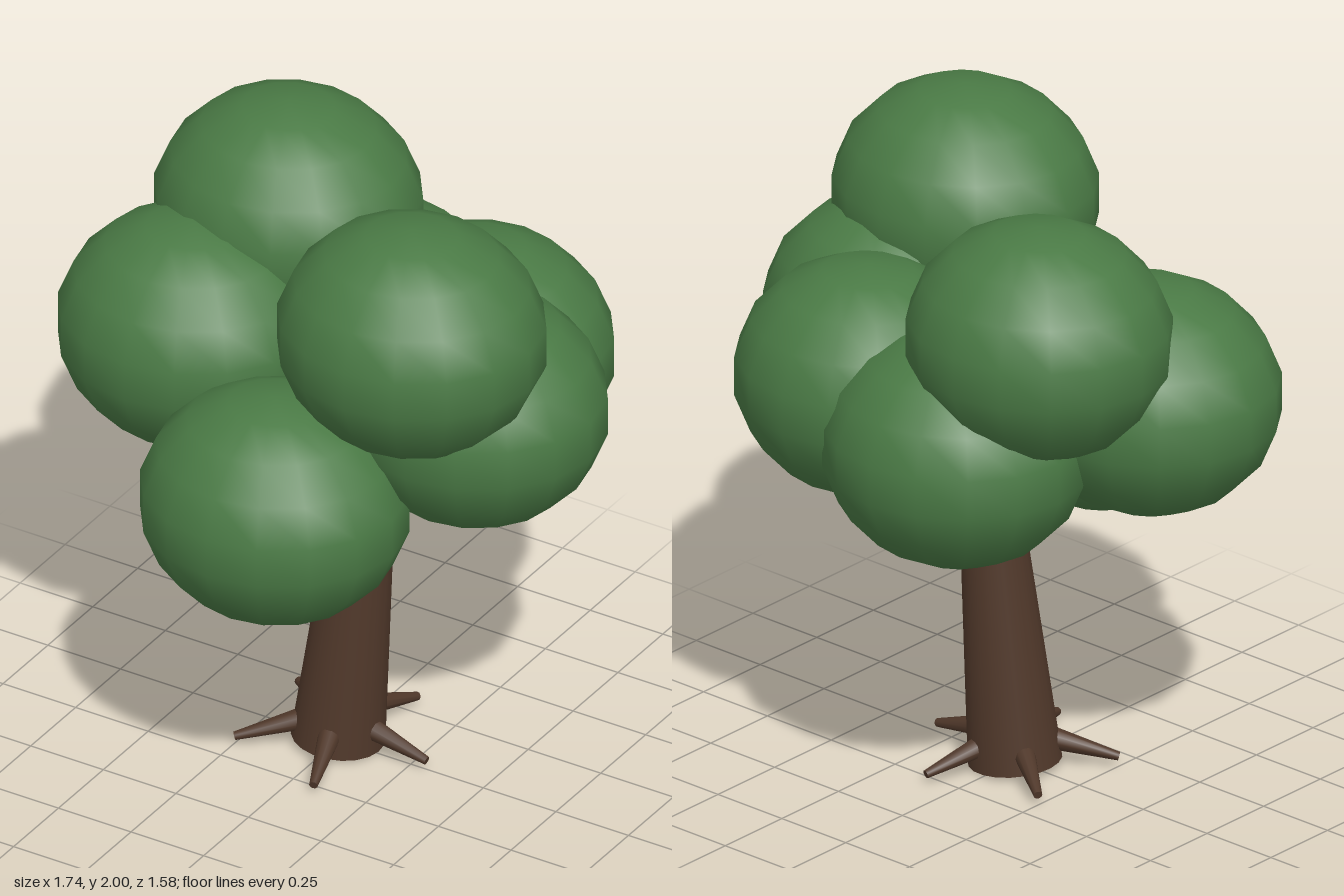
import * as THREE from 'three';

const bark = new THREE.MeshStandardMaterial({ color: 0x50382a });
bark.name = 'bark brown';
const leaf = new THREE.MeshStandardMaterial({ color: 0x4a7a45 });
leaf.name = 'leaf green';

// Tapered round limb running from one point to another
function limb(name, from, to, r0, r1, sides) {
  const a = new THREE.Vector3(...from);
  const b = new THREE.Vector3(...to);
  const dir = b.clone().sub(a);
  const mesh = new THREE.Mesh(new THREE.CylinderGeometry(r1, r0, dir.length(), sides), bark);
  mesh.position.copy(a).add(b).multiplyScalar(0.5);
  mesh.quaternion.setFromUnitVectors(new THREE.Vector3(0, 1, 0), dir.normalize());
  mesh.name = name;
  return mesh;
}

export function createModel() {
  const tree = new THREE.Group();
  tree.name = 'tree';

  // Leaning trunk
  const base = [-0.005, 0.015, -0.008];
  const top = [0.08, 1.02, -0.045];
  tree.add(limb('trunk', base, top, 0.14, 0.082, 20));

  // Five roots around the foot
  for (let i = 0; i < 5; i++) {
    const a = (i * Math.PI * 2) / 5;
    const c = Math.cos(a), s = Math.sin(a);
    tree.add(limb('root', [c * 0.1, 0.085, s * 0.1], [c * 0.305, 0.032, s * 0.305], 0.035, 0.013, 10));
  }

  // Leaf clumps: centre, and the height where the branch leaves the trunk
  const clumps = [
    [0.465, 1.32, 0, 0.67],
    [0.28, 1.285, -0.335, 0.82],
    [-0.13, 1.21, -0.41, 0.8],
    [-0.465, 1.32, 0.06, 0.8],
    [0.035, 1.06, 0.41, 0.7],
    [0.385, 1.645, 0.212, 0.95],
    [-0.35, 1.585, -0.29, 0.95],
  ];
  const ball = new THREE.SphereGeometry(1, 16, 9);
  for (const [x, y, z, h] of clumps) {
    const clump = new THREE.Mesh(ball, leaf);
    clump.name = 'leafClump';
    clump.scale.set(0.411, 0.36, 0.386);
    clump.position.set(x, y, z);
    tree.add(clump);

    // Branch from the trunk's axis into the clump
    const t = (h - base[1]) / (top[1] - base[1]);
    const start = base.map((v, i) => v + (top[i] - v) * t);
    tree.add(limb('branch', start, [x * 0.9, y - 0.06, z * 0.9], 0.05, 0.03, 10));
  }
  return tree;
}
